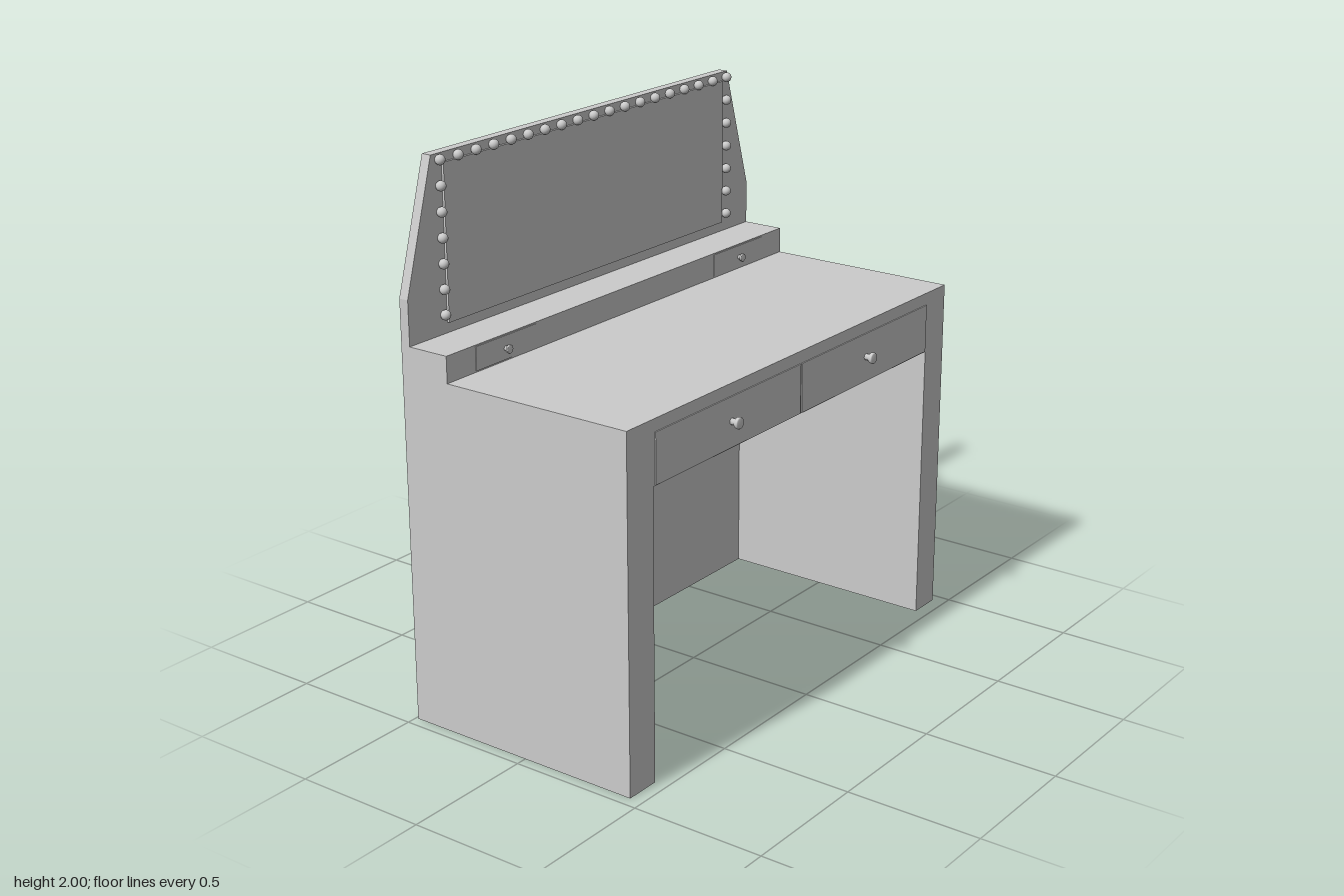
import * as THREE from 'three';

const grey = new THREE.MeshStandardMaterial({ color: 0xcccccc });

export function createModel() {
  const desk = new THREE.Group();
  desk.name = 'vanityDesk';

  const add = (name, geometry) => {
    const mesh = new THREE.Mesh(geometry, grey);
    mesh.name = name;
    desk.add(mesh);
    return mesh;
  };
  // Box given by its limits on each axis
  const box = (name, x0, x1, y0, y1, z0, z1) =>
    add(name, new THREE.BoxGeometry(x1 - x0, y1 - y0, z1 - z0))
      .position.set((x0 + x1) / 2, (y0 + y1) / 2, (z0 + z1) / 2);
  // Outline of [z, y] points extruded between two x positions
  const slab = (name, points, x0, x1) => {
    const shape = new THREE.Shape(points.map(([z, y]) => new THREE.Vector2(-z, y)));
    const mesh = add(name, new THREE.ExtrudeGeometry(shape, { depth: x1 - x0, bevelEnabled: false }));
    mesh.rotation.y = Math.PI / 2;
    mesh.position.x = x0;
  };

  // Fittings sit very slightly off the centre line
  const zc = -0.006;

  // Tall back panel with sloped upper corners
  slab('backPanel', [
    [-0.96, 0], [0.96, 0], [0.96, 1.54], [0.825, 2], [-0.825, 2], [-0.96, 1.54],
  ], -0.49, -0.453);

  // Thick rear wall of the knee space
  box('kneeSpaceWall', -0.453, -0.39, 0, 1.285, -0.96, 0.96);

  // Side panels, drawer case and desktop as one arch around the knee space
  slab('carcass', [
    [-0.96, 0], [-0.835, 0], [-0.835, 1.057], [0.825, 1.057], [0.825, 0], [0.96, 0],
    [0.96, 1.285], [-0.96, 1.285],
  ], -0.39, 0.45);

  // Shelf behind the desktop and mirror pane above it
  box('shelf', -0.453, -0.292, 1.285, 1.38, -0.96, 0.96);
  box('mirror', -0.453, -0.444, 1.417, 1.967, zc - 0.78, zc + 0.78);

  // Flared round knob: narrow stem, wider head, axis along x
  const knob = (name, x, y, z, length, radius) => {
    const profile = [[0, 0], [0.55, 0], [0.55, 0.4], [0.9, 0.6], [1, 0.9], [0.85, 1], [0, 1]]
      .map(([r, h]) => new THREE.Vector2(r * radius, h * length));
    const mesh = add(name, new THREE.LatheGeometry(profile, 20));
    mesh.rotation.z = -Math.PI / 2;
    mesh.position.set(x, y, z);
  };

  // Large and small drawer fronts with their knobs, on both sides
  for (const [side, s] of [['left', 1], ['right', -1]]) {
    const span = (a, b) => [zc + s * a, zc + s * b].sort((p, q) => p - q);
    box(side + 'Drawer', 0.44, 0.454, 1.06, 1.24, ...span(0.004, 0.822));
    knob(side + 'DrawerKnob', 0.452, 1.153, zc + s * 0.41, 0.038, 0.021);
    box(side + 'SmallDrawer', -0.3, -0.289, 1.29, 1.375, ...span(0.515, 0.824));
    knob(side + 'SmallDrawerKnob', -0.29, 1.33, zc + s * 0.675, 0.022, 0.016);
  }

  // Round bulbs along the top and both sides of the mirror
  const bulbGeometry = new THREE.SphereGeometry(0.018, 16, 12);
  const bulb = (y, z) => add('bulb', bulbGeometry).position.set(-0.44, y, zc + z);
  for (let i = 0; i < 19; i++) bulb(1.98, -0.8 + (i * 1.6) / 18);
  for (let i = 0; i < 6; i++) {
    for (const s of [1, -1]) bulb(1.45 + i * 0.0885, s * 0.8);
  }

  return desk;
}
